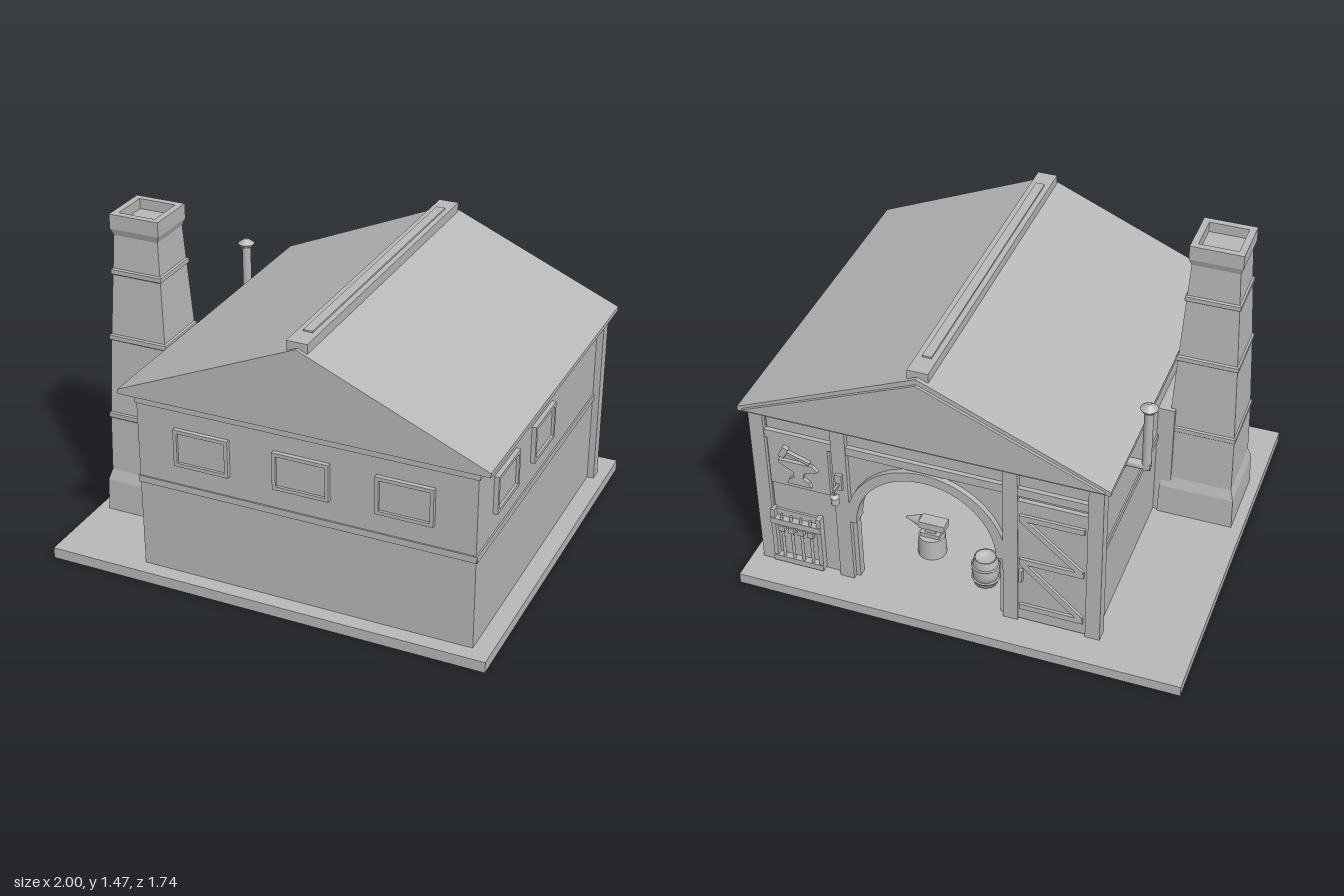
import * as THREE from 'three';

export function createModel() {
  const model = new THREE.Group();
  const stone = new THREE.MeshStandardMaterial({ color: 0xb8b8b8 });
  stone.name = 'plain grey';

  const add = (name, geo, x = 0, y = 0, z = 0, parent = model) => {
    const m = new THREE.Mesh(geo, stone);
    m.name = name;
    m.position.set(x, y, z);
    parent.add(m);
    return m;
  };
  // box given by its limits on each axis
  const box = (name, x0, x1, y0, y1, z0, z1, parent) =>
    add(name, new THREE.BoxGeometry(x1 - x0, y1 - y0, z1 - z0),
      (x0 + x1) / 2, (y0 + y1) / 2, (z0 + z1) / 2, parent);
  const cyl = (name, rTop, rBottom, h, x, y, z, sides = 16) =>
    add(name, new THREE.CylinderGeometry(rTop, rBottom, h, sides), x, y + h / 2, z);
  const extrude = (name, shape, z0, z1) =>
    add(name, new THREE.ExtrudeGeometry(shape, { depth: z1 - z0, bevelEnabled: false, curveSegments: 20 }), 0, 0, z0);
  const polygon = pts => new THREE.Shape(pts.map(p => new THREE.Vector2(...p)));
  // slanted bar on the back face between two points
  const bar = (name, ax, ay, bx, by, width, z0, z1) => {
    const len = Math.hypot(bx - ax, by - ay);
    const m = add(name, new THREE.BoxGeometry(len, width, z1 - z0), (ax + bx) / 2, (ay + by) / 2, (z0 + z1) / 2);
    m.rotation.z = Math.atan2(by - ay, bx - ax);
    return m;
  };

  // ground slab
  box('baseSlab', -1, 1, 0, 0.05, -0.873, 0.87);

  // walls
  box('frontWall', -0.58, 0.92, 0.05, 0.88, 0.76, 0.8);
  box('leftWall', 0.88, 0.92, 0.05, 0.88, -0.71, 0.76);
  box('rightWall', -0.58, -0.54, 0.05, 0.88, -0.71, 0.76);

  // back wall with an arched entrance
  const cx = 0.17, springY = 0.38, r = 0.325;
  const wall = new THREE.Shape();
  wall.moveTo(-0.54, 0.05);
  wall.lineTo(cx - r, 0.05);
  wall.lineTo(cx - r, springY);
  wall.absarc(cx, springY, r, Math.PI, 0, true);
  wall.lineTo(cx + r, 0.05);
  wall.lineTo(0.88, 0.05);
  wall.lineTo(0.88, 0.88);
  wall.lineTo(-0.54, 0.88);
  wall.closePath();
  extrude('backWall', wall, -0.705, -0.665);

  const ring = new THREE.Shape();
  ring.absarc(cx, springY, r + 0.035, 0, Math.PI, false);
  ring.absarc(cx, springY, r - 0.01, Math.PI, 0, true);
  extrude('entranceArch', ring, -0.73, -0.66);

  // thin bands round the walls
  for (const [y0, y1] of [[0.455, 0.485], [0.83, 0.88]]) {
    box('frontBand', -0.585, 0.925, y0, y1, 0.795, 0.807);
    box('leftBand', 0.915, 0.927, y0, y1, -0.67, 0.805);
    box('rightBand', -0.587, -0.575, y0, y1, -0.67, 0.805);
  }

  // framed windows
  const addWindow = (x, z, turn) => {
    const g = new THREE.Group();
    g.name = 'window';
    const w = 0.125, h = 0.085, f = 0.016;
    box('windowPane', -w + f, w - f, -h + f, h - f, 0, 0.008, g);
    for (const s of [-1, 1]) {
      box('windowRail', -w, w, s * (h - f / 2) - f / 2, s * (h - f / 2) + f / 2, 0, 0.02, g);
      box('windowStile', s * (w - f / 2) - f / 2, s * (w - f / 2) + f / 2, -h + f, h - f, 0, 0.02, g);
    }
    g.position.set(x, 0.665, z);
    g.rotation.y = turn;
    model.add(g);
  };
  for (const x of [-0.28, 0.17, 0.62]) addWindow(x, 0.8, 0);
  for (const z of [0.5, 0.063]) addWindow(0.92, z, Math.PI / 2);

  // gabled roof with ridge cap
  const gable = [[-0.637, 0.88], [0.985, 0.88], [0.985, 0.9], [0.174, 1.25], [-0.637, 0.9]];
  extrude('roof', polygon(gable), -0.752, 0.85);
  extrude('backGableBoard', polygon([[-0.615, 0.895], [0.962, 0.895], [0.174, 1.225]]), -0.764, -0.75);
  box('ridgeCap', 0.127, 0.218, 1.232, 1.274, -0.735, 0.835);
  box('ridgeStrip', 0.152, 0.193, 1.27, 1.281, -0.635, 0.735);

  // timber posts and beams on the back
  box('cornerPost', 0.885, 0.95, 0.05, 0.875, -0.73, -0.67);
  box('cornerPost', -0.605, -0.54, 0.05, 0.875, -0.73, -0.67);
  box('entrancePost', 0.515, 0.58, 0.05, 0.88, -0.73, -0.66);
  box('entrancePost', -0.24, -0.175, 0.05, 0.88, -0.73, -0.66);
  box('lintelBeam', -0.54, 0.885, 0.745, 0.785, -0.725, -0.7);

  // braced side door
  box('door', -0.54, -0.2, 0.06, 0.72, -0.725, -0.7);
  for (const y of [0.14, 0.4, 0.64]) box('doorRail', -0.53, -0.25, y - 0.014, y + 0.014, -0.738, -0.72);
  bar('doorBrace', -0.52, 0.15, -0.26, 0.39, 0.026, -0.738, -0.72);
  bar('doorBrace', -0.52, 0.41, -0.26, 0.63, 0.026, -0.738, -0.72);
  box('doorHandle', -0.265, -0.25, 0.29, 0.35, -0.747, -0.72);

  // hanging board with a raised anvil shape and crossed hammer
  box('signBoard', 0.6, 0.875, 0.5, 0.745, -0.725, -0.7);
  extrude('signAnvil', polygon([[0.68, 0.53], [0.79, 0.53], [0.78, 0.555], [0.755, 0.57], [0.76, 0.6],
    [0.825, 0.635], [0.825, 0.65], [0.67, 0.65], [0.645, 0.625], [0.71, 0.6], [0.715, 0.57], [0.69, 0.555]]), -0.742, -0.72);
  bar('signHammerHandle', 0.68, 0.66, 0.8, 0.7, 0.014, -0.742, -0.72);
  bar('signHammerHead', 0.785, 0.72, 0.81, 0.67, 0.028, -0.745, -0.72);

  // tool rack under the sign
  box('rackBoard', 0.66, 0.885, 0.06, 0.34, -0.715, -0.7);
  for (const y of [0.075, 0.29]) box('rackRail', 0.655, 0.89, y - 0.015, y + 0.015, -0.745, -0.7);
  for (const x of [0.665, 0.88]) box('rackStile', x - 0.01, x + 0.01, 0.06, 0.35, -0.74, -0.7);
  for (let i = 0; i < 4; i++) {
    const x = 0.705 + i * 0.045;
    cyl('rackTool', 0.007, 0.007, 0.25, x, 0.08, -0.735, 8);
    box('toolHead', x - 0.014, x + 0.014, 0.24, 0.27, -0.747, -0.725);
  }

  // lantern on a bracket
  box('lanternPlate', 0.535, 0.565, 0.56, 0.64, -0.745, -0.73);
  box('lanternBracket', 0.545, 0.555, 0.588, 0.598, -0.79, -0.73);
  cyl('lanternHook', 0.003, 0.003, 0.03, 0.55, 0.565, -0.785, 6);
  cyl('lantern', 0.018, 0.018, 0.04, 0.55, 0.52, -0.785, 10);
  cyl('lanternCap', 0.008, 0.022, 0.012, 0.55, 0.558, -0.785, 10);

  // square tapered chimney with collars and a hollow top
  const profile = [[0.174, 0.05], [0.17, 0.2], [0.155, 0.25], [0.149, 0.51], [0.154, 0.515], [0.154, 0.535],
    [0.147, 0.54], [0.132, 0.885], [0.138, 0.89], [0.138, 0.91], [0.13, 0.915], [0.115, 1.19], [0.121, 1.195],
    [0.121, 1.215], [0.113, 1.22], [0.105, 1.37], [0.116, 1.4], [0.116, 1.466], [0.086, 1.466], [0.086, 1.42], [0, 1.42]];
  const shaft = new THREE.LatheGeometry(
    profile.map(([w, y]) => new THREE.Vector2(w * Math.SQRT2, y)), 4, Math.PI / 4).toNonIndexed();
  shaft.computeVertexNormals();
  add('chimney', shaft, -0.776, 0, 0.312);
  box('chimneyBreast', -0.655, -0.57, 0.05, 0.63, 0.15, 0.475);

  // stove pipe with a conical hood
  cyl('stovePipe', 0.02, 0.02, 0.31, -0.677, 0.74, -0.38);
  const elbow = cyl('stovePipeElbow', 0.02, 0.02, 0.13, -0.63, 0.69, -0.38);
  elbow.rotation.z = Math.PI / 2;
  cyl('stovePipeRim', 0.038, 0.028, 0.015, -0.677, 1.04, -0.38);
  cyl('stovePipeHood', 0.008, 0.038, 0.022, -0.677, 1.055, -0.38);
  const flange = cyl('stovePipeFlange', 0.032, 0.032, 0.012, -0.585, 0.749, -0.38);
  flange.rotation.z = Math.PI / 2;

  // workshop interior: anvil on stump, barrel, hearth and bench
  cyl('anvilStump', 0.06, 0.065, 0.1, 0.26, 0.05, -0.45);
  box('anvilFoot', 0.215, 0.305, 0.15, 0.17, -0.48, -0.42);
  box('anvilWaist', 0.235, 0.285, 0.17, 0.195, -0.47, -0.43);
  box('anvilTop', 0.19, 0.31, 0.195, 0.23, -0.48, -0.42);
  const horn = cyl('anvilHorn', 0.003, 0.028, 0.07, 0.345, 0.179, -0.45);
  horn.rotation.z = -Math.PI / 2;
  const barrel = [[0, 0], [0.052, 0], [0.062, 0.07], [0.052, 0.14], [0.044, 0.14], [0.044, 0.12], [0, 0.12]];
  add('waterBarrel', new THREE.LatheGeometry(barrel.map(p => new THREE.Vector2(...p)), 16), -0.03, 0.05, -0.55);
  for (const y of [0.08, 0.15]) {
    const hoop = add('barrelHoop', new THREE.TorusGeometry(0.059, 0.005, 6, 18), -0.03, y, -0.55);
    hoop.rotation.x = Math.PI / 2;
  }
  box('hearth', -0.54, -0.2, 0.05, 0.27, 0.12, 0.5);
  box('hearthHood', -0.54, -0.3, 0.5, 0.88, 0.16, 0.46);
  box('benchTop', 0, 0.7, 0.24, 0.27, 0.56, 0.76);
  for (const x of [0.03, 0.67]) box('benchLeg', x - 0.02, x + 0.02, 0.05, 0.24, 0.58, 0.62);

  return model;
}
